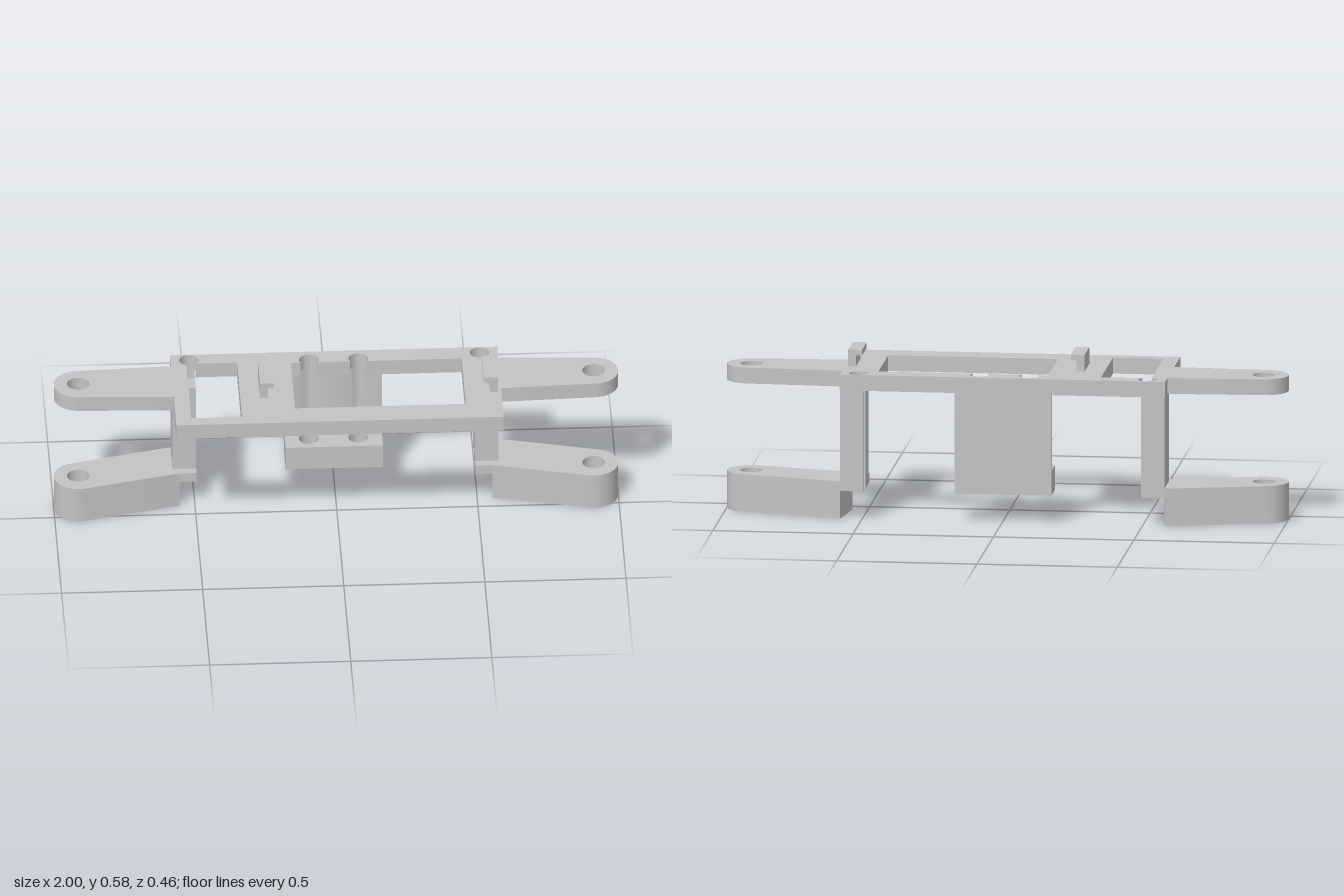
import * as THREE from 'three';
import { toCreasedNormals } from 'three/addons/utils/BufferGeometryUtils.js';

const TAU = Math.PI * 2;

// Points along an arc in plan (x, z)
function arc(cx, cz, r, a0, a1, n = 20) {
  const pts = [];
  for (let i = 0; i <= n; i++) {
    const a = a0 + (a1 - a0) * i / n;
    pts.push([cx + r * Math.cos(a), cz + r * Math.sin(a)]);
  }
  return pts;
}
const circle = (cx, cz, r) => arc(cx, cz, r, 0, TAU * 23 / 24, 23);
const rect = (x0, x1, z0, z1) => [[x0, z0], [x1, z0], [x1, z1], [x0, z1]];
const mirror = (pts) => pts.map(([x, z]) => [-x, z]);

// Arc of a bore behind the line z = edge, from its left to its right end
function bore(cx, cz, r, edge) {
  const a = Math.asin((edge - cz) / r);
  return arc(cx, cz, r, Math.PI - a, TAU + a);
}

export function createModel() {
  const group = new THREE.Group();
  const grey = new THREE.MeshStandardMaterial({ color: 0xc4c4c4 });
  grey.name = 'grey plastic';

  // Raise a plan outline with holes from y0 to y1
  function slab(name, outline, holes, y0, y1) {
    const vec = (pts) => pts.map(([x, z]) => new THREE.Vector2(x, -z));
    const points = vec(outline);
    // Counter-clockwise outlines let the extrusion orient the holes correctly
    if (THREE.ShapeUtils.isClockWise(points)) points.reverse();
    const shape = new THREE.Shape(points);
    for (const h of holes) shape.holes.push(new THREE.Path(vec(h)));
    let geo = new THREE.ExtrudeGeometry(shape, { depth: y1 - y0, bevelEnabled: false });
    geo.rotateX(-Math.PI / 2);
    geo.translate(0, y0, 0);
    geo = toCreasedNormals(geo, 0.5);
    const mesh = new THREE.Mesh(geo, grey);
    mesh.name = name;
    group.add(mesh);
  }

  // Top frame with rounded ears
  const ear = [
    [0.58, -0.232], [0.58, -0.16],
    ...arc(0.913, -0.058, 0.087, -1.53, 1.53, 24),
    [0.58, 0.043], [0.58, 0.232],
  ];
  const smallWindow = [
    [-0.525, 0.187], ...arc(-0.515, -0.197, 0.034, 1.869, TAU + 0.827),
    [-0.345, -0.172], [-0.345, 0.187],
  ];
  const largeWindow = [
    [-0.155, 0.14], [-0.155, -0.16],
    ...bore(-0.09, -0.178, 0.035, -0.16),
    ...bore(0.085, -0.178, 0.035, -0.16),
    [0.45, -0.16], [0.45, 0.14],
  ];
  slab('topFrame', [...ear, ...mirror(ear).reverse()], [
    smallWindow, largeWindow, circle(0.515, -0.197, 0.034),
    circle(0.913, -0.06, 0.04), circle(-0.913, -0.06, 0.04),
  ], 0.463, 0.52);

  // Side posts with a screw channel, ledges and lower arms
  const inner = 0.494;
  const a = Math.acos((0.515 - inner) / 0.034);
  const post = [
    [0.578, -0.088], [0.578, -0.232], [inner, -0.232],
    ...arc(0.515, -0.197, 0.034, Math.PI + a, TAU + Math.PI - a),
    [inner, -0.088],
  ];
  const lowerArm = [
    [0.555, -0.057], [0.578, -0.232],
    ...arc(0.913, -0.058, 0.087, -1.32, 1.80, 24),
  ];
  for (const [side, flip] of [['left', (p) => p], ['right', mirror]]) {
    slab(side + 'Post', flip(post), [], 0.1, 0.463);
    slab(side + 'Ledge', flip(rect(inner, 0.578, -0.088, -0.057)), [], 0.1, 0.135);
    slab(side + 'LowerArm', flip(lowerArm), [flip(circle(0.913, -0.06, 0.04))], 0, 0.135);
  }
  // Small stop in front of the right post
  slab('postStop', rect(-0.526, -0.5, -0.1, -0.06), [], 0.463, 0.49);

  // Thin rear wall with two channels, wider near the foot
  const wall = (r) => [
    [-0.175, -0.232], [-0.175, -0.208],
    ...bore(-0.09, -0.178, r, -0.208),
    ...bore(0.085, -0.178, r, -0.208),
    [0.17, -0.208], [0.17, -0.232],
  ];
  slab('rearWall', wall(0.035), [], 0.255, 0.463);
  slab('rearWallBase', wall(0.042), [], 0.19, 0.255);
  slab('rearFoot', rect(-0.175, 0.17, -0.232, -0.12),
    [circle(-0.09, -0.178, 0.035), circle(0.085, -0.178, 0.035)], 0.1, 0.19);

  // Hooked clips on top
  for (const [name, x0, x1, h0, h1] of [
    ['rightClip', -0.275, -0.247, -0.275, -0.226],
    ['leftClip', 0.54, 0.567, 0.518, 0.567],
  ]) {
    slab(name + 'Stem', rect(x0, x1, -0.077, 0.066), [], 0.52, 0.56);
    slab(name + 'Hook', rect(h0, h1, -0.077, 0.066), [], 0.56, 0.58);
  }

  return group;
}
